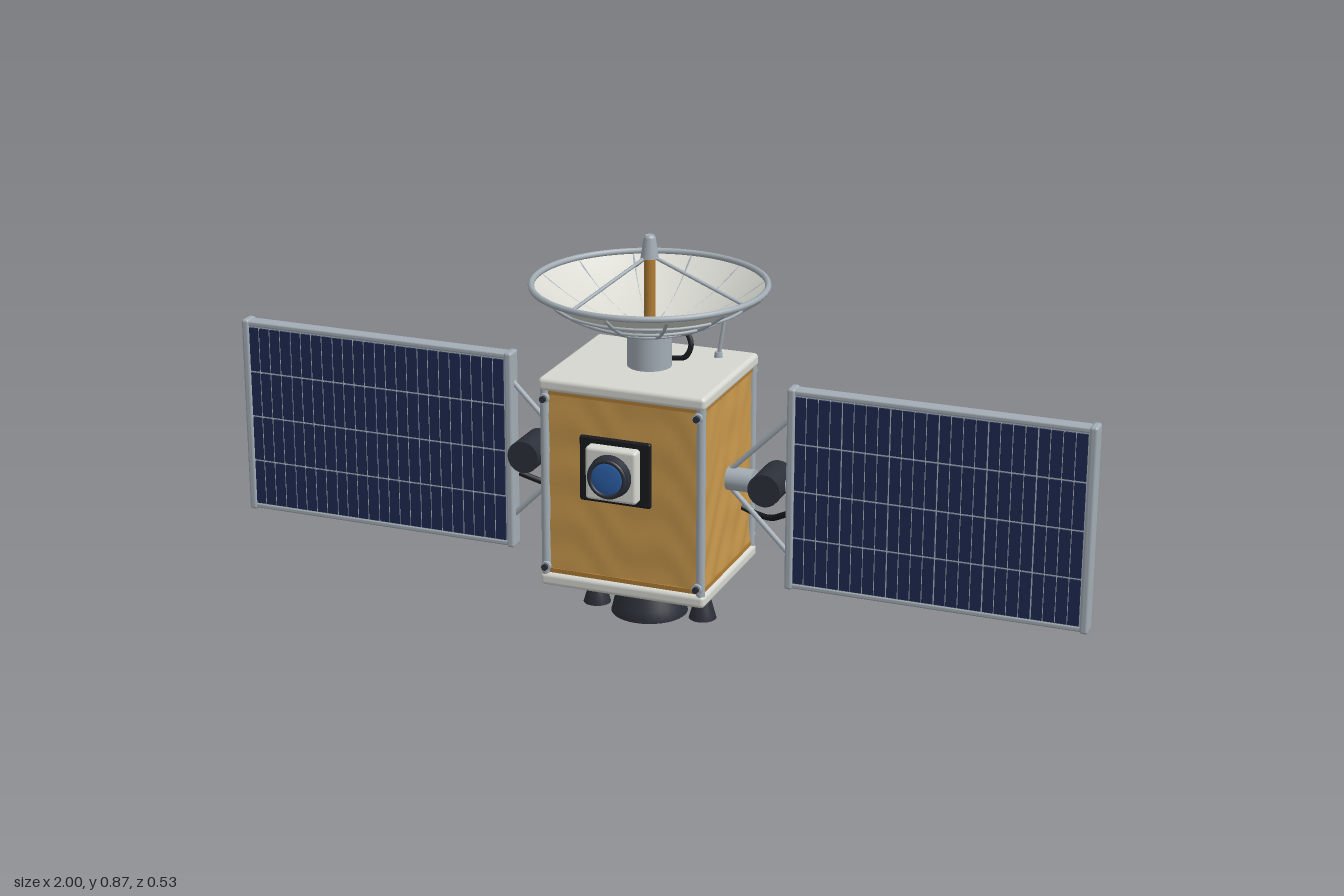
import * as THREE from 'three';
import { RoundedBoxGeometry } from 'three/addons/geometries/RoundedBoxGeometry.js';

const mat = (name, color, side = THREE.FrontSide) => {
  const m = new THREE.MeshStandardMaterial({ color, side });
  m.name = name;
  return m;
};
const V = (x, y, z) => new THREE.Vector3(x, y, z);

export function createModel() {
  const root = new THREE.Group();
  root.name = 'satellite';
  const foil = mat('gold foil', 0xc8984c);
  const bronze = mat('bronze', 0xb07c34);
  const white = mat('off white', 0xd6d7d0);
  const dishWhite = mat('dish white', 0xd9d9d2, THREE.DoubleSide);
  const silver = mat('silver', 0xa3adb5);
  const dark = mat('dark grey', 0x2b2f38, THREE.DoubleSide);
  const black = mat('cable black', 0x17191d);
  const navy = mat('cell navy', 0x1d2850);
  const blue = mat('lens blue', 0x2c60a8);

  const add = (parent, name, geo, m, x = 0, y = 0, z = 0) => {
    const mesh = new THREE.Mesh(geo, m);
    mesh.name = name;
    mesh.position.set(x, y, z);
    parent.add(mesh);
    return mesh;
  };
  const box = (p, name, w, h, d, m, x, y, z, r = 0) =>
    add(p, name, r ? new RoundedBoxGeometry(w, h, d, 3, r) : new THREE.BoxGeometry(w, h, d), m, x, y, z);
  const cyl = (p, name, rt, rb, h, m, x, y, z, axis = 'y') => {
    const g = new THREE.CylinderGeometry(rt, rb, h, 28);
    if (axis === 'x') g.rotateZ(-Math.PI / 2);
    if (axis === 'z') g.rotateX(Math.PI / 2);
    return add(p, name, g, m, x, y, z);
  };
  const rod = (p, name, a, b, r, m) => {
    const mesh = add(p, name, new THREE.CylinderGeometry(r, r, a.distanceTo(b), 10), m);
    mesh.position.copy(a).lerp(b, 0.5);
    mesh.quaternion.setFromUnitVectors(V(0, 1, 0), b.clone().sub(a).normalize());
    return mesh;
  };
  const cable = (p, name, pts, r, m) =>
    add(p, name, new THREE.TubeGeometry(new THREE.CatmullRomCurve3(pts), 32, r, 8), m);

  // Body: softly crinkled foil box between two caps, with posts and bolts
  const body = new THREE.Group();
  body.name = 'body';
  root.add(body);
  const foilGeo = new THREE.BoxGeometry(0.366, 0.44, 0.316, 24, 28, 24);
  const P = foilGeo.attributes.position, N = foilGeo.attributes.normal;
  for (let i = 0; i < P.count; i++) {
    const [x, y, z] = [P.getX(i), P.getY(i), P.getZ(i)];
    const h = 0.0011 * (Math.sin(38 * (x + z) + 55 * y + 2 * Math.sin(30 * (x - z))) + Math.sin(70 * (x - z) - 42 * y));
    P.setXYZ(i, x + N.getX(i) * h, y, z + N.getZ(i) * h);
  }
  foilGeo.computeVertexNormals();
  add(body, 'foilWalls', foilGeo, foil, 0, 0.336, 0);
  box(body, 'bottomCap', 0.386, 0.03, 0.34, white, 0, 0.11, 0, 0.01);
  box(body, 'topCap', 0.386, 0.03, 0.34, white, 0, 0.562, 0, 0.01);
  for (const y of [0.13, 0.544]) box(body, 'foilTrim', 0.372, 0.01, 0.322, bronze, 0, y, 0);
  for (const sx of [-1, 1]) for (const sz of [-1, 1]) {
    cyl(body, 'cornerPost', 0.01, 0.01, 0.43, silver, sx * 0.181, 0.336, sz * 0.158);
    for (const y of [0.142, 0.532]) {
      cyl(body, 'boltWasher', 0.011, 0.011, 0.01, silver, sx * 0.177, y, sz * 0.17, 'z');
      cyl(body, 'boltHead', 0.007, 0.007, 0.008, dark, sx * 0.177, y, sz * 0.178, 'z');
    }
  }

  // Camera on the front
  const cam = new THREE.Group();
  cam.name = 'camera';
  cam.position.set(0, 0.397, 0);
  root.add(cam);
  box(cam, 'cameraHousing', 0.118, 0.12, 0.072, white, 0, 0, 0.192, 0.008);
  box(cam, 'cameraGasket', 0.164, 0.148, 0.012, black, 0, 0, 0.197, 0.005);
  cyl(cam, 'lensBarrel', 0.046, 0.049, 0.02, dark, 0, 0, 0.236, 'z');
  add(cam, 'lensRing', new THREE.TorusGeometry(0.04, 0.005, 10, 32), dark, 0, 0, 0.246);
  const lens = new THREE.SphereGeometry(0.037, 28, 10, 0, Math.PI * 2, 0, Math.PI / 2);
  lens.rotateX(Math.PI / 2);
  lens.scale(1, 1, 0.13);
  add(cam, 'lens', lens, blue, 0, 0, 0.246);

  // Louvred radiator on the back
  const radiator = new THREE.Group();
  radiator.name = 'radiator';
  root.add(radiator);
  box(radiator, 'radiatorPlate', 0.268, 0.3, 0.016, white, 0, 0.35, -0.168, 0.005);
  for (let i = 0; i < 10; i++) {
    const slat = box(radiator, 'louvre', 0.236, 0.011, 0.012, silver, 0, 0.217 + i * 0.0286, -0.179, 0.003);
    slat.rotation.x = 0.25;
  }

  // Engines underneath
  const cone = (name, pts, x) =>
    add(root, name, new THREE.LatheGeometry(pts.map(([r, y]) => new THREE.Vector2(r, y)), 36), dark, x, 0, 0);
  cone('mainNozzle', [[0, 0.07], [0.035, 0.06], [0.08, 0], [0.086, 0], [0.08, 0.025], [0.062, 0.07], [0.05, 0.096]], 0);
  for (const s of [-1, 1]) {
    cyl(root, 'thrusterMount', 0.023, 0.023, 0.047, silver, s * 0.127, 0.074, 0);
    cone('thrusterNozzle', [[0, 0.035], [0.012, 0.03], [0.028, 0], [0.031, 0], [0.024, 0.025], [0.017, 0.052]], s * 0.127);
  }

  // Dish antenna with ribs, rings, rim and feed
  const dish = new THREE.Group();
  dish.name = 'dishAntenna';
  root.add(dish);
  const dishY = r => 0.658 + 0.1 * Math.pow(r / 0.256, 1.9);
  const profile = Array.from({ length: 13 }, (_, i) => new THREE.Vector2(i * 0.256 / 12, dishY(i * 0.256 / 12)));
  add(dish, 'reflector', new THREE.LatheGeometry(profile, 64), dishWhite);
  const ring = (name, r, y, t) => {
    const g = new THREE.TorusGeometry(r, t, 8, 64);
    g.rotateX(Math.PI / 2);
    add(dish, name, g, silver, 0, y, 0);
  };
  ring('rim', 0.256, 0.761, 0.007);
  for (const r of [0.11, 0.165, 0.212]) ring('backRing', r, dishY(r) - 0.004, 0.0035);
  for (let i = 0; i < 12; i++) {
    const a = i * Math.PI / 6;
    const pts = [0.045, 0.1, 0.15, 0.2, 0.253].map(r => V(r * Math.cos(a), dishY(r) - 0.004, r * Math.sin(a)));
    cable(dish, 'backRib', pts, 0.004, silver);
  }
  cyl(dish, 'mast', 0.049, 0.049, 0.084, silver, 0, 0.618, 0);
  cyl(dish, 'feedRod', 0.0125, 0.0125, 0.17, bronze, 0, 0.74, 0);
  cyl(dish, 'feedHorn', 0.013, 0.02, 0.046, silver, 0, 0.843, 0);
  cyl(dish, 'feedTip', 0.01, 0.013, 0.005, silver, 0, 0.868, 0);
  for (let i = 0; i < 3; i++) {
    const a = i * Math.PI * 2 / 3;
    rod(dish, 'feedStrut', V(0.212 * Math.cos(a), 0.74, 0.212 * Math.sin(a)),
      V(0.012 * Math.cos(a), 0.822, 0.012 * Math.sin(a)), 0.004, silver);
  }
  cable(dish, 'mastCable', [V(0.045, 0.592, -0.02), V(0.075, 0.598, -0.021), V(0.086, 0.625, -0.027),
    V(0.07, 0.652, -0.036), V(0.045, 0.662, -0.04)], 0.006, black);
  rod(root, 'whipAntenna', V(0.12, 0.575, -0.107), V(0.138, 0.705, -0.112), 0.0045, silver);
  cyl(root, 'whipBase', 0.008, 0.01, 0.014, silver, 0.12, 0.582, -0.107);

  // Solar wings, mirrored
  for (const s of [-1, 1]) {
    const wing = new THREE.Group();
    wing.name = s > 0 ? 'leftWing' : 'rightWing';
    root.add(wing);
    cyl(wing, 'armSocket', 0.026, 0.026, 0.06, silver, s * 0.215, 0.34, 0, 'x');
    cyl(wing, 'armShaft', 0.014, 0.014, 0.1, silver, s * 0.285, 0.34, 0, 'x');
    cyl(wing, 'hingeDrum', 0.037, 0.037, 0.1, dark, s * 0.284, 0.34, 0, 'z');
    for (const d of [-1, 1])
      rod(wing, 'braceStrut', V(s * 0.185, 0.34 + d * 0.015, 0), V(s * 0.33, 0.34 + d * 0.16, 0), 0.006, silver);
    cable(wing, 'powerCable', [V(s * 0.33, 0.272, -0.028), V(s * 0.29, 0.245, -0.06), V(s * 0.25, 0.222, -0.092),
      V(s * 0.215, 0.222, -0.104), V(s * 0.18, 0.236, -0.1)], 0.007, black);

    // Frame and substrate
    for (const x of [0.332, 0.991]) box(wing, 'endRail', 0.018, 0.464, 0.04, silver, s * x, 0.337, 0, 0.006);
    for (const y of [0.114, 0.56]) box(wing, 'longRail', 0.65, 0.012, 0.034, silver, s * 0.6615, y, 0, 0.004);
    box(wing, 'substrate', 0.65, 0.444, 0.03, silver, s * 0.6615, 0.337, 0);

    // Cells and conductor strips on both faces
    const pitchX = 0.641 / 6, pitchY = 0.434 / 4;
    for (let c = 0; c < 6; c++) {
      const x = s * (0.341 + pitchX * (c + 0.5));
      for (let r = 0; r < 4; r++)
        box(wing, 'solarCell', pitchX - 0.004, pitchY - 0.005, 0.039, navy, x, 0.12 + pitchY * (r + 0.5), 0);
      for (const k of [-1, 0, 1])
        box(wing, 'conductorStrip', 0.0016, 0.43, 0.0396, silver, x + k * pitchX / 4, 0.337, 0);
    }
  }
  return root;
}
